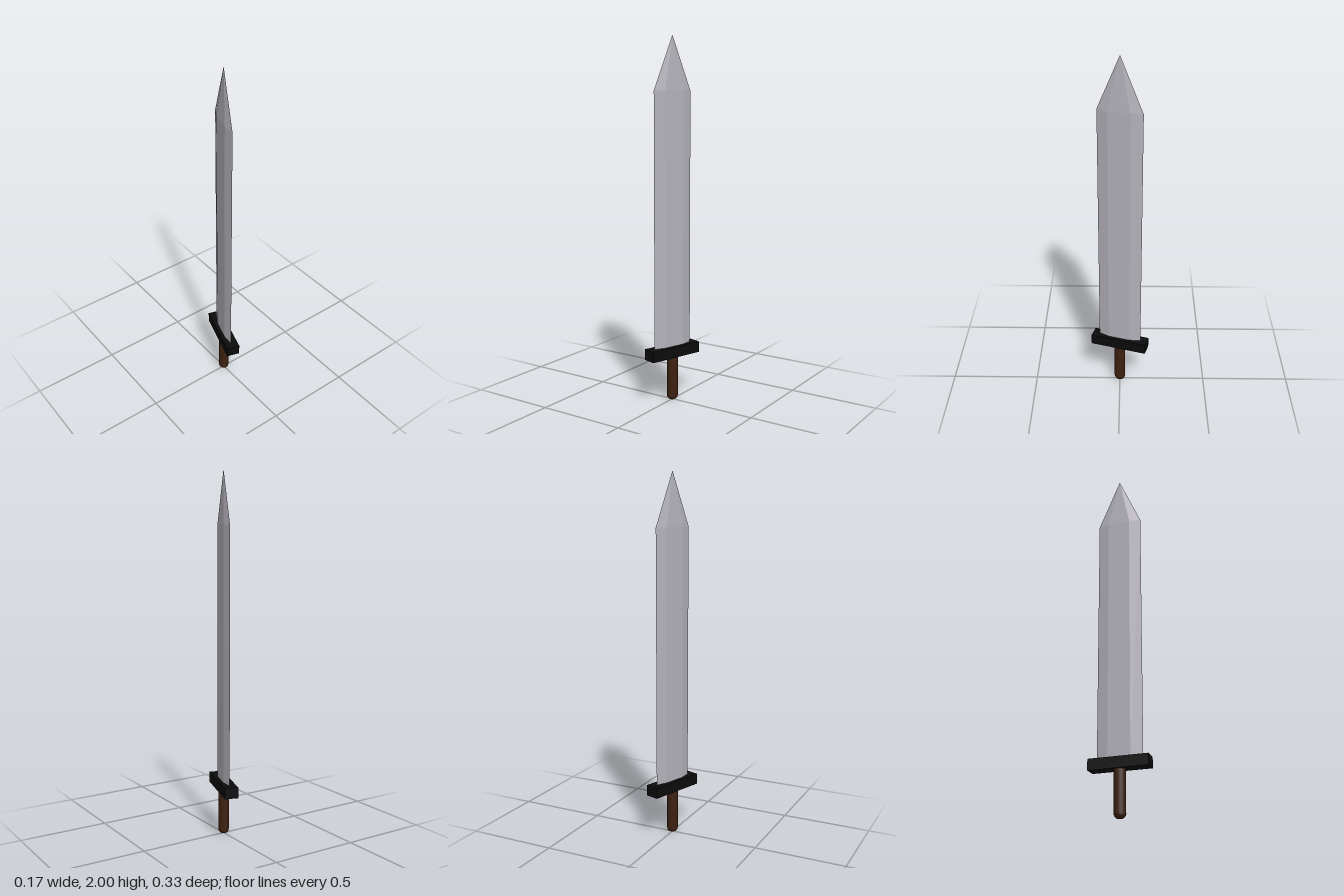
import * as THREE from 'three';

const material = (color, flatShading = false) => new THREE.MeshStandardMaterial({ color, flatShading });

function addPart(parent, name, geometry, mat, y) {
  const mesh = new THREE.Mesh(geometry, mat);
  mesh.name = name;
  mesh.position.y = y;
  parent.add(mesh);
  return mesh;
}

export function createModel() {
  const sword = new THREE.Group();
  sword.name = 'sword';
  const steel = material(0xb4b2ba, true);
  const black = material(0x0c0c0c, true);
  const wood = material(0x3d2010);

  // Everything is turned slightly about the vertical axis
  const body = new THREE.Group();
  body.name = 'swordBody';
  body.rotation.y = -0.302;
  sword.add(body);

  // Blade: flattened six-sided prism ending in a six-sided point
  const guardTop = 0.31, shoulder = 1.71, tip = 2;
  const bladeHeight = shoulder - guardTop;
  const blade = new THREE.CylinderGeometry(1, 1, bladeHeight, 6, 1, true).scale(0.0196, 1, 0.125);
  addPart(body, 'blade', blade, steel, guardTop + bladeHeight / 2);
  const point = new THREE.ConeGeometry(1, tip - shoulder, 6, 1, true).scale(0.0196, 1, 0.125);
  addPart(body, 'bladePoint', point, steel, (shoulder + tip) / 2);

  // Crossguard block
  addPart(body, 'crossguard', new THREE.BoxGeometry(0.075, 0.06, 0.326), black, 0.28);

  // Grip: slightly oval rod with a rounded lower end
  const profile = [[0, 0], [0.012, 0.001], [0.021, 0.006], [0.027, 0.013], [0.03, 0.024], [0.03, 0.26]]
    .map(([r, y]) => new THREE.Vector2(r, y));
  addPart(body, 'grip', new THREE.LatheGeometry(profile, 20).scale(0.97, 1, 1.06), wood, 0);

  return sword;
}
